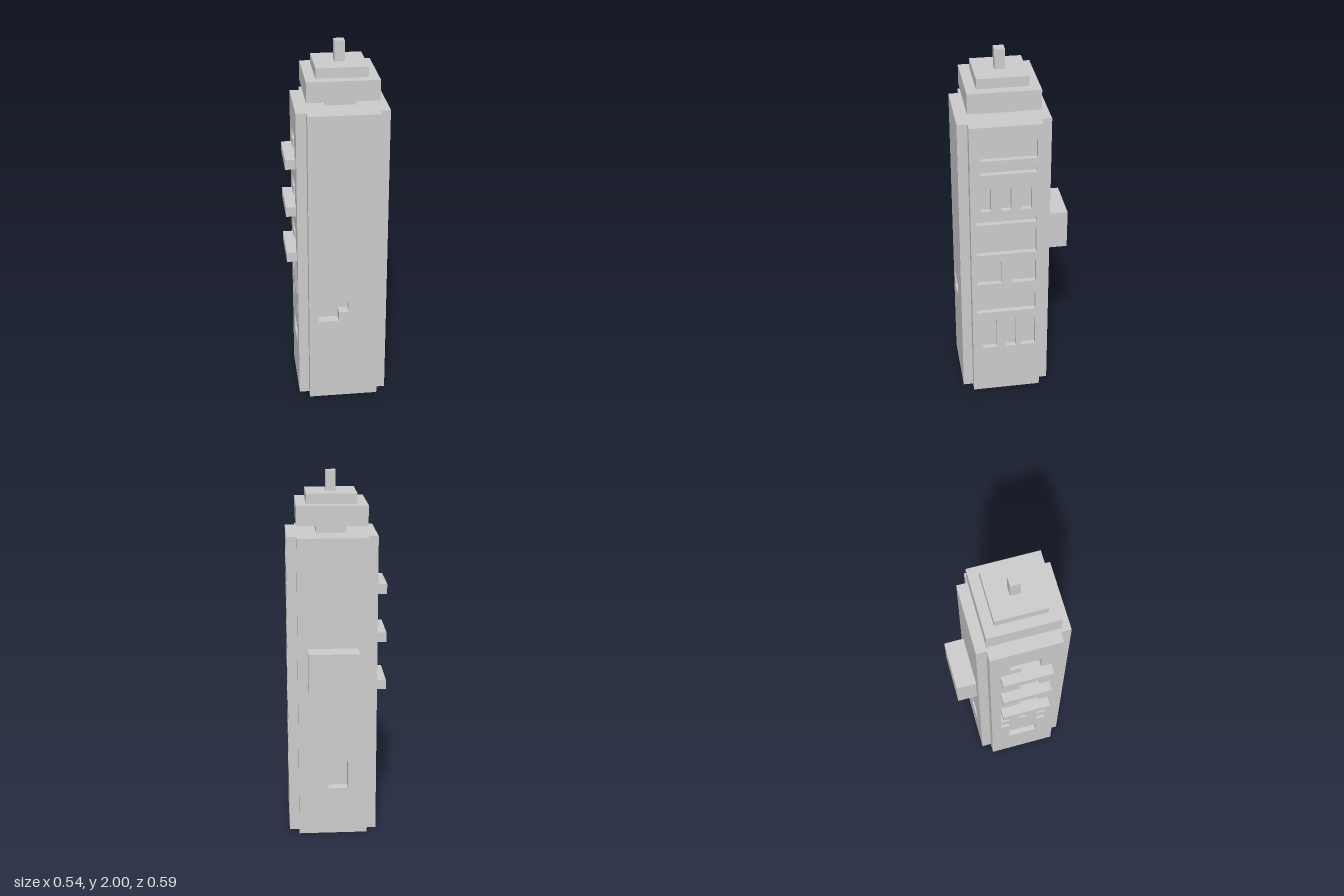
import * as THREE from 'three';

const U = 2 / 37; // one block of the building grid
const material = new THREE.MeshStandardMaterial({ color: 0xcccccc, flatShading: true });

// Box centred on the tower axis, standing on height y (all in blocks)
function block(name, w, h, d, y, z = 0) {
  const mesh = new THREE.Mesh(new THREE.BoxGeometry(w, h, d), material);
  mesh.position.set(0, y + h / 2, z);
  mesh.name = name;
  return mesh;
}

const rect = (x0, x1, y0, y1) => [[x0, y0], [x1, y0], [x1, y1], [x0, y1]];
// Opening two blocks high whose last column is only the upper block
const stepped = (x0, x1, xs, y) => [[x0, y], [xs, y], [xs, y + 1], [x1, y + 1], [x1, y + 2], [x0, y + 2]];
const toPoints = (list) => list.map(([x, y]) => new THREE.Vector2(x, y));

// Facade slab one block thick, its openings cut to the given depth
function facade(name, angle, openings, depth = 1) {
  const group = new THREE.Group();
  group.name = name;
  group.rotation.y = angle;
  const shape = new THREE.Shape(toPoints(rect(-3.5, 3.5, 0, 31)));
  for (const o of openings) shape.holes.push(new THREE.Path(toPoints(o)));
  const wall = new THREE.Mesh(new THREE.ExtrudeGeometry(shape, { depth, bevelEnabled: false }), material);
  wall.name = name + 'Wall';
  wall.position.z = 4.5 - depth;
  group.add(wall);
  if (depth < 1) group.add(block(name + 'Backing', 7, 31, 1 - depth, 0, 3.5 + (1 - depth) / 2));
  return group;
}

export function createModel() {
  const model = new THREE.Group();
  model.name = 'tower';
  const tower = new THREE.Group();
  tower.name = 'building';
  tower.scale.setScalar(U);
  tower.position.set(0.5 * U, 0, U);
  model.add(tower);

  // Core and stepped roof with mast
  tower.add(
    block('core', 7, 31, 7, 0),
    block('roofNeck', 3, 1, 3, 31),
    block('roofSlab', 7, 2, 7, 32),
    block('roofCap', 5, 1, 5, 34),
    block('mast', 1, 2, 1, 35),
  );

  // Front with one stepped opening
  tower.add(facade('front', 0, [stepped(-2.5, 0.5, -0.5, 9)]));

  // Right side with shallow window bands
  const columns = [[-2.5, -1.5], [-0.5, 0.5], [1.5, 2.5]];
  tower.add(facade('rightSide', Math.PI / 2, [
    rect(-2.5, 3, 27.5, 29.5),
    rect(-2.5, 3, 26, 26.5),
    ...columns.map(([a, b]) => rect(a, b, 22, 24.5)),
    rect(-3, 3, 20.5, 21),
    rect(-3, 3, 17, 20),
    rect(-3, -0.5, 13.5, 16),
    rect(0.5, 3, 13.5, 16),
    rect(-3, 3, 10, 12),
    rect(-2.5, -1, 5.5, 9),
    rect(0, 1, 5.5, 9),
    rect(1.5, 3, 5.5, 9),
  ], 0.5));

  // Back with a doorway and a projecting box
  const back = facade('back', Math.PI, [rect(-0.5, 1.5, 5, 8)]);
  back.add(block('backBay', 5, 4, 2, 16, 5.5));
  tower.add(back);

  // Left side with balconies, balcony doors and small windows
  const floors = [16, 21, 26];
  const left = facade('leftSide', -Math.PI / 2, [
    ...floors.map((y) => stepped(1.5, -1.5, -0.5, y)),
    ...columns.map(([a, b]) => rect(a, b, 11, 14)),
    rect(-2.5, -1.5, 9, 10),
    rect(1.5, 2.5, 9, 10),
    rect(-1.5, 1.5, 5, 7),
  ]);
  for (const y of floors) left.add(block('balcony', 5, 1, 1, y - 1, 5));
  tower.add(left);

  return model;
}
